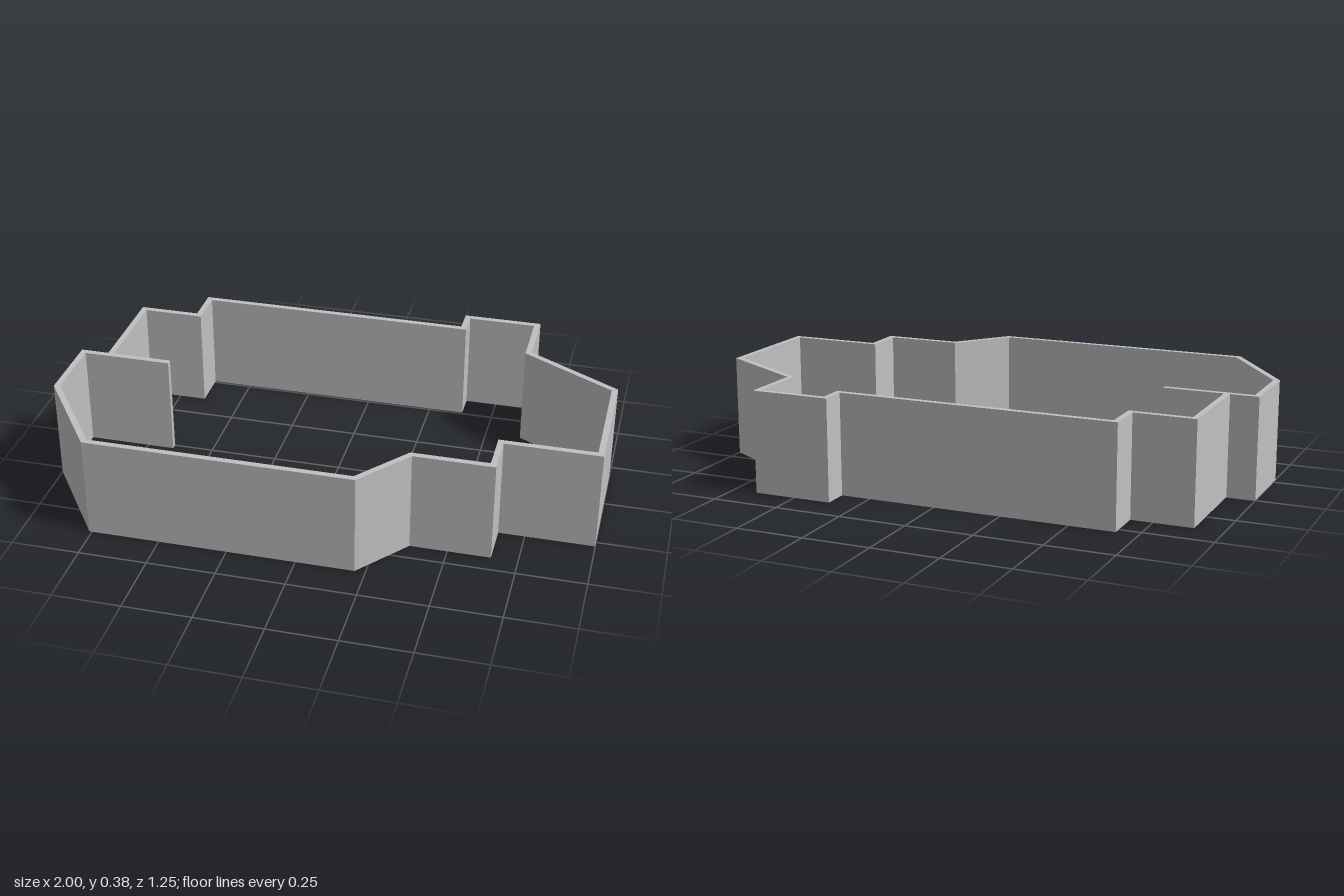
import * as THREE from 'three';

const HEIGHT = 0.375;
const THICK = 0.022;

// Outer corners of the enclosure in plan (x, z), clockwise seen from above
const OUTLINE = [
  [0.36, -0.625], [0.655, -0.625], [0.655, -0.39], [1, -0.19],
  [1, 0.275], [0.655, 0.275], [0.655, 0.43], [0.365, 0.43],
  [0.212, 0.62], [-0.76, 0.62], [-1, 0.28], [-1, 0],
  [-0.895, 0], [-0.895, -0.385], [-0.67, -0.385], [-0.67, -0.53], [0.36, -0.53],
].map(([x, z]) => new THREE.Vector2(x, z));

// Mitred inward offset of a closed outline
function inset(points, distance) {
  const n = points.length;
  const inward = (a, b) => {
    const d = b.clone().sub(a).normalize();
    return new THREE.Vector2(-d.y, d.x);
  };
  return points.map((p, i) => {
    const n1 = inward(points[(i + n - 1) % n], p);
    const n2 = inward(p, points[(i + 1) % n]);
    const mitre = n1.clone().add(n2);
    return p.clone().addScaledVector(mitre, distance / (1 + n1.dot(n2)));
  });
}

export function createModel() {
  const group = new THREE.Group();
  group.name = 'roomWalls';
  const wallGrey = new THREE.MeshStandardMaterial({ color: 0xc0c0c0 });
  wallGrey.name = 'wall grey';

  // Perimeter wall, a thin closed band raised to full height
  const plan = new THREE.Shape(OUTLINE);
  plan.holes.push(new THREE.Path(inset(OUTLINE, THICK)));
  const geometry = new THREE.ExtrudeGeometry(plan, { depth: HEIGHT, bevelEnabled: false });
  geometry.rotateX(Math.PI / 2).translate(0, HEIGHT, 0);
  const perimeter = new THREE.Mesh(geometry, wallGrey);
  perimeter.name = 'perimeterWall';
  group.add(perimeter);

  // Short partition reaching into the room
  const start = -0.895 + THICK, end = -0.65;
  const partition = new THREE.Mesh(new THREE.BoxGeometry(end - start, HEIGHT, THICK), wallGrey);
  partition.position.set((start + end) / 2, HEIGHT / 2, THICK / 2);
  partition.name = 'partitionWall';
  group.add(partition);

  return group;
}
